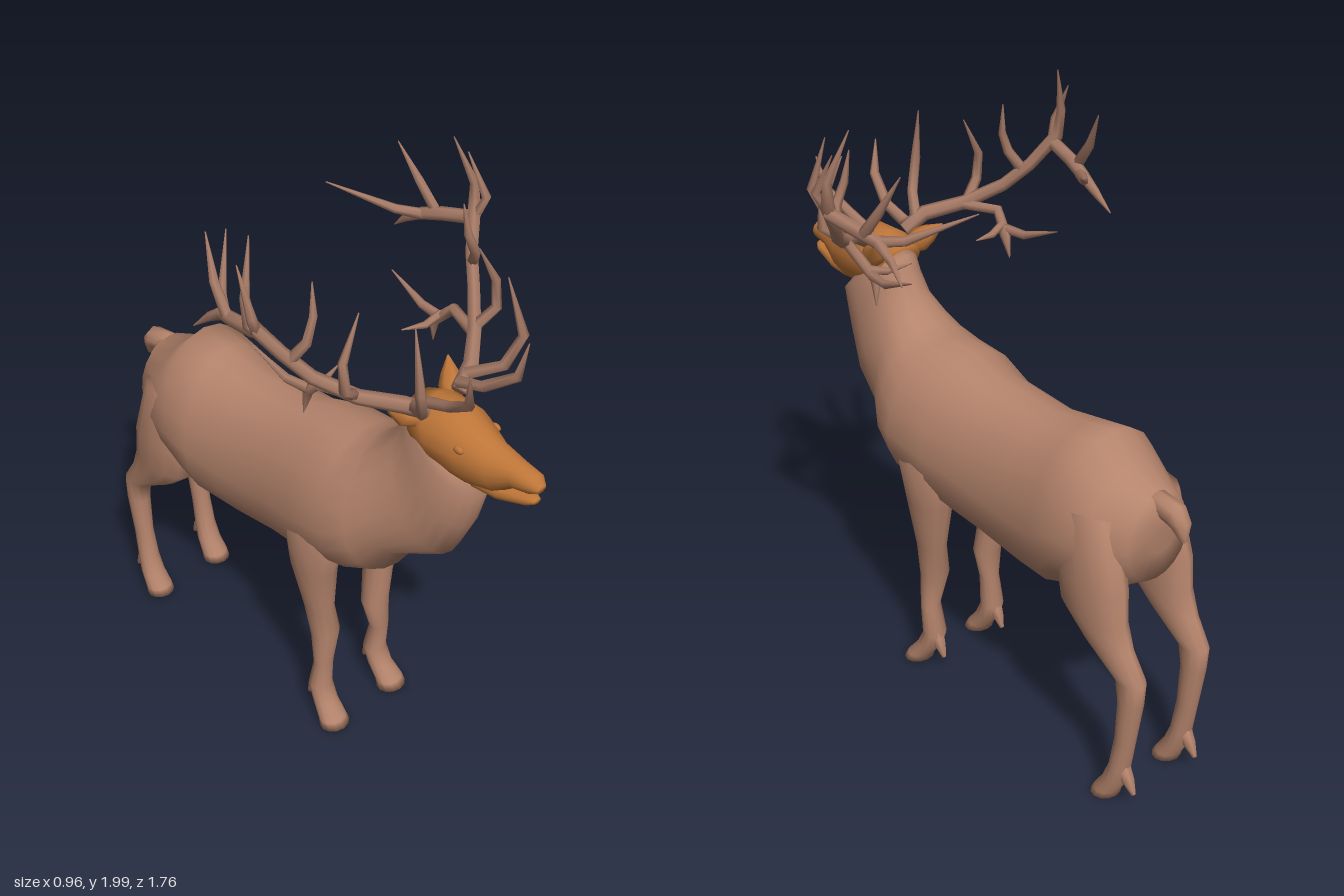
import * as THREE from 'three';

const V = (x, y, z) => new THREE.Vector3(x, y, z);

const mat = (name, color) => {
  const m = new THREE.MeshStandardMaterial({ color });
  m.name = name;
  return m;
};

// Skin a list of rings (counter-clockwise about the path) and cap both ends.
function loft(rings) {
  const n = rings[0].length, pos = [], idx = [];
  rings.forEach(r => r.forEach(p => pos.push(p.x, p.y, p.z)));
  for (let i = 0; i < rings.length - 1; i++) {
    for (let j = 0; j < n; j++) {
      const a = i * n + j, b = i * n + (j + 1) % n;
      idx.push(a, b, a + n, b, b + n, a + n);
    }
  }
  [0, rings.length - 1].forEach(i => {
    const c = rings[i].reduce((s, p) => s.add(p), V(0, 0, 0)).divideScalar(n);
    const k = pos.length / 3;
    pos.push(c.x, c.y, c.z);
    for (let j = 0; j < n; j++) {
      const a = i * n + j, b = i * n + (j + 1) % n;
      if (i === 0) idx.push(k, b, a); else idx.push(k, a, b);
    }
  });
  const g = new THREE.BufferGeometry();
  g.setAttribute('position', new THREE.Float32BufferAttribute(pos, 3));
  g.setIndex(idx);
  g.computeVertexNormals();
  return g;
}

const ring = (n, f) => Array.from({ length: n }, (_, j) => f(j / n * Math.PI * 2));

// Egg-shaped slices: [top z, top y, bottom z, bottom y, half width]
function slices(list, n, mid) {
  return loft(list.map(([zt, yt, zb, yb, w]) => ring(n, a => {
    const s = Math.sin(a);
    const t = mid + (s > 0 ? s * (1 - mid) : s * mid);
    return V(w * Math.cos(a), yb + (yt - yb) * t, zb + (zt - zb) * t);
  })));
}

// Horizontal leg slices, top to bottom: [y, z, half depth, x, half width]
function limb(list, side) {
  return loft(list.map(([y, z, rz, x, rx]) =>
    ring(12, a => V(side * x + rx * Math.cos(a), y, z + rz * Math.sin(a)))));
}

// Tapered tube through points [x, y, z, radius]
function taper(list, side = 1, n = 6) {
  const p = list.map(q => V(q[0] * side, q[1], q[2]));
  let nrm = V(0.36, 0.48, 0.8);
  return loft(p.map((c, i) => {
    const t = p[Math.min(i + 1, p.length - 1)].clone().sub(p[Math.max(i - 1, 0)]).normalize();
    nrm = nrm.clone().addScaledVector(t, -nrm.dot(t)).normalize();
    const b = t.clone().cross(nrm), r = list[i][3];
    return ring(n, a => c.clone().addScaledVector(nrm, r * Math.cos(a)).addScaledVector(b, r * Math.sin(a)));
  }));
}

export function createModel() {
  const root = new THREE.Group();
  root.name = 'stag';
  const hide = mat('brown hide', 0xb5846c);
  const face = mat('orange face', 0xbf7638);
  const horn = mat('antler brown', 0xa67a66);
  const add = (name, geo, m, parent = root) => {
    const mesh = new THREE.Mesh(geo, m);
    mesh.name = name;
    parent.add(mesh);
    return mesh;
  };

  // Trunk and neck in one skin, rump to throat
  add('body', slices([
    [-0.79, 1.03, -0.78, 0.86, 0.06],
    [-0.76, 1.05, -0.765, 0.76, 0.125],
    [-0.65, 1.09, -0.66, 0.69, 0.19],
    [-0.57, 1.175, -0.50, 0.63, 0.22],
    [-0.45, 1.155, -0.42, 0.585, 0.215],
    [-0.30, 1.13, -0.29, 0.585, 0.20],
    [-0.06, 1.145, -0.10, 0.61, 0.20],
    [0.06, 1.185, 0.07, 0.635, 0.225],
    [0.19, 1.185, 0.24, 0.685, 0.232],
    [0.26, 1.21, 0.34, 0.73, 0.205],
    [0.31, 1.245, 0.40, 0.825, 0.17],
    [0.35, 1.30, 0.56, 0.915, 0.13],
    [0.375, 1.36, 0.63, 1.06, 0.11],
    [0.39, 1.40, 0.67, 1.20, 0.103],
    [0.42, 1.42, 0.62, 1.26, 0.075],
  ], 20, 0.45), hide);

  // Tail
  add('tail', taper([
    [0, 1.025, -0.75, 0.035], [0, 1.01, -0.83, 0.038],
    [0, 0.985, -0.85, 0.032], [0, 0.935, -0.865, 0.01],
  ], 1, 8), hide);

  // Head and lower jaw
  add('head', slices([
    [0.40, 1.43, 0.49, 1.27, 0.09],
    [0.47, 1.46, 0.56, 1.245, 0.102],
    [0.58, 1.46, 0.66, 1.235, 0.092],
    [0.69, 1.405, 0.74, 1.25, 0.062],
    [0.79, 1.385, 0.79, 1.30, 0.044],
    [0.855, 1.375, 0.85, 1.312, 0.036],
    [0.878, 1.35, 0.875, 1.325, 0.018],
  ], 16, 0.52), face);
  add('lowerJaw', slices([
    [0.66, 1.30, 0.66, 1.235, 0.055],
    [0.74, 1.295, 0.75, 1.235, 0.045],
    [0.84, 1.305, 0.84, 1.265, 0.03],
    [0.865, 1.298, 0.865, 1.28, 0.014],
  ], 12, 0.5), face);

  const foreLeg = [
    [0.95, 0.12, 0.09, 0.13, 0.05],
    [0.82, 0.12, 0.12, 0.155, 0.07],
    [0.68, 0.11, 0.09, 0.15, 0.065],
    [0.50, 0.12, 0.055, 0.135, 0.047],
    [0.37, 0.13, 0.043, 0.115, 0.052],
    [0.25, 0.137, 0.03, 0.13, 0.036],
    [0.14, 0.12, 0.038, 0.128, 0.042],
    [0.08, 0.145, 0.042, 0.13, 0.042],
    [0.03, 0.185, 0.042, 0.135, 0.05],
    [0.005, 0.197, 0.045, 0.135, 0.054],
  ];
  const hindLeg = [
    [0.98, -0.61, 0.10, 0.12, 0.07],
    [0.76, -0.635, 0.135, 0.135, 0.07],
    [0.65, -0.65, 0.13, 0.137, 0.062],
    [0.57, -0.71, 0.10, 0.137, 0.05],
    [0.48, -0.81, 0.053, 0.135, 0.042],
    [0.40, -0.815, 0.042, 0.135, 0.04],
    [0.25, -0.80, 0.035, 0.135, 0.033],
    [0.14, -0.782, 0.034, 0.135, 0.038],
    [0.08, -0.765, 0.04, 0.135, 0.042],
    [0.03, -0.735, 0.042, 0.135, 0.048],
    [0.005, -0.725, 0.045, 0.135, 0.05],
  ];

  // Antler beam and its tines
  const antler = {
    beam: [[0.07, 1.44, 0.49, 0.026], [0.14, 1.485, 0.47, 0.026], [0.24, 1.52, 0.39, 0.023], [0.33, 1.585, 0.30, 0.021],
      [0.385, 1.66, 0.235, 0.021], [0.45, 1.76, 0.18, 0.022], [0.455, 1.84, 0.17, 0.015], [0.40, 1.995, 0.13, 0.002]],
    browTine: [[0.07, 1.47, 0.49, 0.02], [0.07, 1.50, 0.58, 0.018], [0.10, 1.57, 0.68, 0.016], [0.12, 1.68, 0.695, 0.002]],
    secondTine: [[0.11, 1.475, 0.48, 0.02], [0.17, 1.52, 0.57, 0.018], [0.21, 1.62, 0.60, 0.016], [0.185, 1.80, 0.55, 0.002]],
    thirdTine: [[0.25, 1.53, 0.385, 0.018], [0.31, 1.58, 0.41, 0.017], [0.31, 1.67, 0.40, 0.014], [0.24, 1.80, 0.39, 0.002]],
    fourthTine: [[0.37, 1.64, 0.255, 0.018], [0.34, 1.70, 0.29, 0.016], [0.31, 1.77, 0.285, 0.013], [0.30, 1.87, 0.27, 0.002]],
    outerTine: [[0.44, 1.74, 0.19, 0.018], [0.468, 1.80, 0.21, 0.015], [0.455, 1.93, 0.14, 0.002]],
    lowTine: [[0.23, 1.515, 0.40, 0.018], [0.28, 1.52, 0.27, 0.018], [0.26, 1.46, 0.21, 0.018], [0.27, 1.38, 0.20, 0.002]],
    lowBackTine: [[0.27, 1.475, 0.22, 0.016], [0.28, 1.475, 0.14, 0.014], [0.29, 1.53, 0.0, 0.002]],
    lowInnerTine: [[0.27, 1.49, 0.23, 0.014], [0.21, 1.47, 0.22, 0.012], [0.13, 1.48, 0.20, 0.002]],
    rearBeam: [[0.44, 1.735, 0.19, 0.022], [0.42, 1.71, 0.08, 0.022], [0.40, 1.69, 0.01, 0.02], [0.40, 1.65, -0.05, 0.014], [0.41, 1.595, -0.11, 0.002]],
    rearUpTine: [[0.42, 1.71, 0.05, 0.018], [0.41, 1.79, -0.01, 0.015], [0.38, 1.91, -0.075, 0.002]],
    rearInnerTine: [[0.40, 1.69, 0.02, 0.018], [0.35, 1.70, -0.05, 0.015], [0.20, 1.79, -0.20, 0.002]],
  };

  // Paired parts
  for (const [side, label] of [[1, 'left'], [-1, 'right']]) {
    add(label + 'ForeLeg', limb(foreLeg, side), hide);
    add(label + 'HindLeg', limb(hindLeg, side), hide);

    // Dewclaws behind each foot
    add(label + 'ForeDewclaw', taper([[0.13, 0.15, 0.11, 0.025], [0.13, 0.10, 0.09, 0.02], [0.13, 0.06, 0.07, 0.008]], side), hide);
    add(label + 'HindDewclaw', taper([[0.135, 0.15, -0.79, 0.025], [0.135, 0.10, -0.82, 0.02], [0.135, 0.06, -0.845, 0.008]], side), hide);

    add(label + 'Ear', taper([[0.06, 1.39, 0.47, 0.025], [0.095, 1.415, 0.44, 0.04],
      [0.115, 1.44, 0.415, 0.03], [0.14, 1.475, 0.38, 0.003]], side, 8), face);

    const eye = add(label + 'Eye', new THREE.SphereGeometry(0.016, 10, 8), face);
    eye.scale.set(0.6, 0.8, 1.2);
    eye.position.set(side * 0.078, 1.38, 0.63);

    const group = new THREE.Group();
    group.name = label + 'Antler';
    root.add(group);
    for (const [name, path] of Object.entries(antler)) add(name, taper(path, side), horn, group);
  }
  return root;
}
